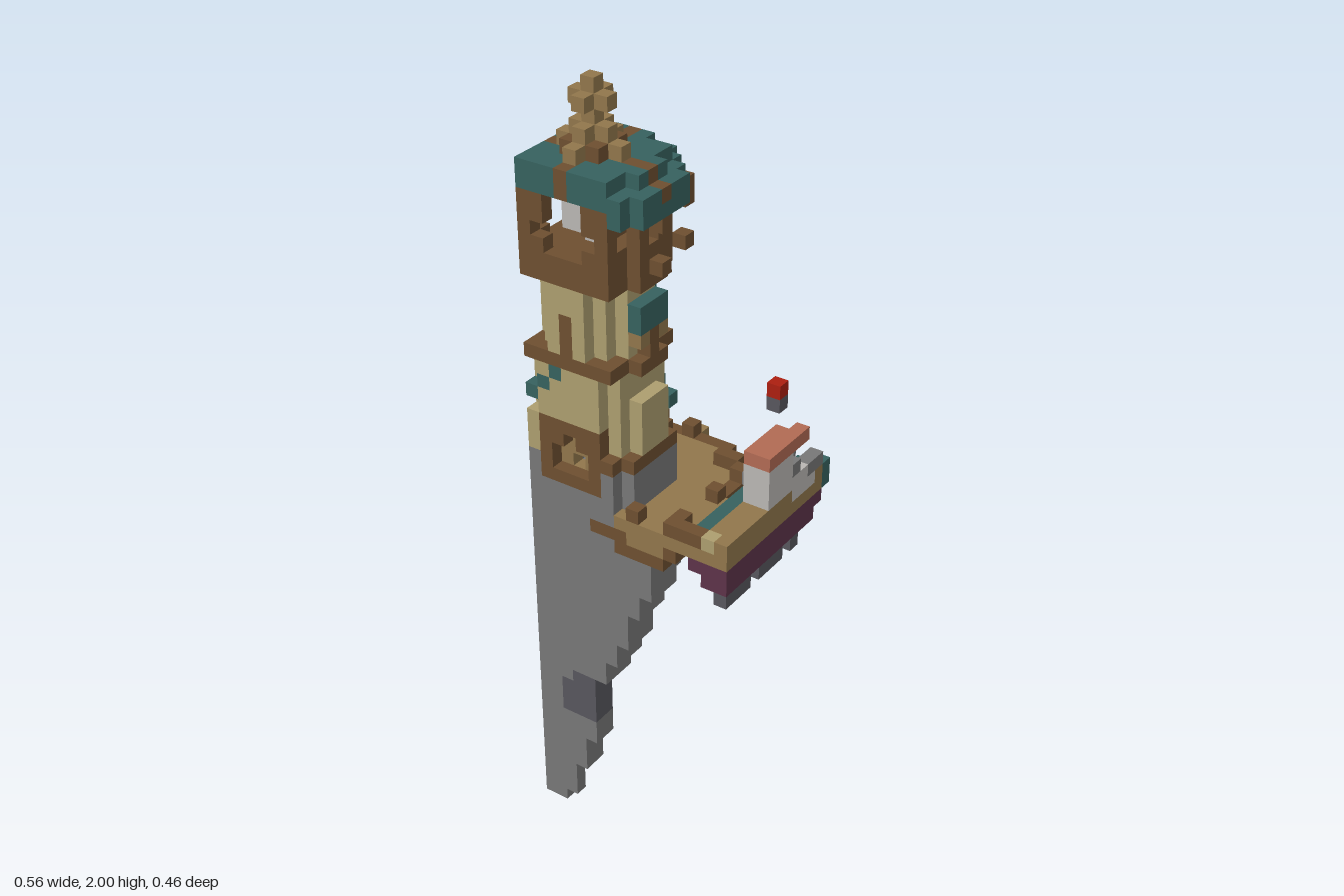
import * as THREE from 'three';
import { mergeGeometries } from 'three/addons/utils/BufferGeometryUtils.js';

const NX = 16, NY = 57, NZ = 13, S = 2 / NY; // block grid

const colours = {
  stone: 0x777777, darkStone: 0x57565d, paleStone: 0xb9b6b3, plaster: 0xac9d6e,
  darkTimber: 0x6d4f30, lightTimber: 0x90764b, tealTile: 0x36615e,
  purpleHull: 0x5d3349, salmonRoof: 0xb06a53, redLamp: 0xab1f10,
};

export function createModel() {
  const cells = new Map();
  const key = (i, j, k) => (i * 64 + j) * 64 + k;
  const inside = (i, j, k) => i >= 0 && i < NX && j >= 0 && j < NY && k >= 0 && k < NZ;

  // Fill a box of blocks (inclusive); a later part replaces an earlier one.
  function fill(part, colour, [i0, i1], [j0, j1], [k0, k1], rule = () => true) {
    for (let i = i0; i <= i1; i++) for (let j = j0; j <= j1; j++) for (let k = k0; k <= k1; k++)
      if (inside(i, j, k) && rule(i, j, k)) {
        if (colour) cells.set(key(i, j, k), part + '|' + colour);
        else cells.delete(key(i, j, k));
      }
  }
  const carve = (i, j, k, rule) => fill('', null, i, j, k, rule);
  // Round slab about the tower axis
  const r2 = (i, k) => (i - 3) ** 2 + (k - 9) ** 2;
  const disc = (part, colour, j, max, min = -1) =>
    fill(part, colour, [0, 8], j, [4, 12], (i, _, k) => r2(i, k) <= max && r2(i, k) > min);

  // Deck with dark rim, tapering underneath
  const reach = [-1, 8, 9, 10, 11, 11, 11, 12, 12, 12, 12, 12, 12];
  fill('deck', 'lightTimber', [0, 12], [27, 27], [1, 12], (i, j, k) => i <= reach[k]);
  fill('deckRim', 'darkTimber', [0, 12], [27, 27], [1, 7],
    (i, j, k) => i <= reach[k] && (k === 1 || (k < 7 && i === reach[k])));
  fill('deckBeams', 'darkTimber', [0, 12], [26, 26], [1, 12],
    (i, j, k) => i < reach[k] && (k > 1 || i % 4 === 1));
  fill('deckBeams', 'darkTimber', [0, 12], [25, 25], [2, 12],
    (i, j, k) => i < reach[k] - 1 && (k > 3 || i % 3 === 1) && (i < reach[k] - 2 || k % 3 === 0));
  fill('deckBeams', 'darkTimber', [0, 8], [23, 24], [3, 8],
    (i, j, k) => i <= reach[k] - 3 && (i + k) % 3 === 0 && k + j > 27);
  fill('deckFront', 'lightTimber', [7, 10], [26, 26], [10, 12]);
  for (const i of [1, 5]) {
    fill('deckPost', 'darkTimber', [i, i], [27, 28], [1, 1]);
    fill('deckBracket', 'lightTimber', [i, i], [27, 27], [0, 0]);
  }
  for (const [i, k] of [[9, 3], [10, 3], [11, 4], [11, 7], [11, 11], [11, 12], [12, 12], [13, 12], [8, 12]])
    fill('deckPost', 'darkTimber', [i, i], [28, 28], [k, k]);

  // Hanging rock: quarter ellipses widening upward from the corner
  const widthX = j => [[0, 2], [3, 3], [6, 4], [12, 5], [14, 6], [16, 7], [19, 8], [21, 9], [26, 10]].find(a => j <= a[0])[1];
  const widthZ = j => [[0, 1], [3, 2], [4, 3], [10, 4], [12, 5], [15, 6], [17, 7], [26, 8]].find(a => j <= a[0])[1];
  const inRock = (i, j, k) => ((i + 0.5) / widthX(j)) ** 2 + ((12.5 - k) / widthZ(j)) ** 2 <= 1.04;
  fill('rock', 'stone', [0, 9], [0, 24], [4, 12], inRock);
  fill('rockSeam', 'darkStone', [0, 5], [9, 12], [8, 12],
    (i, j, k) => inRock(i, j, k) && (i > 1 || k < 12) && !(i === 2 && j === 12));
  disc('towerBase', 'stone', [25, 30], 20);
  fill('deckFront', 'darkTimber', [5, 7], [26, 26], [12, 12]);

  // Lower tower
  disc('baseBand', 'darkTimber', [31, 31], 20);
  disc('lowerWall', 'plaster', [32, 34], 17);
  disc('lowerWall', 'plaster', [35, 37], 13);
  fill('lowerWall', 'plaster', [0, 0], [31, 33], [12, 12]);
  fill('buttress', 'plaster', [7, 7], [32, 35], [8, 10]);
  fill('buttress', 'plaster', [2, 4], [32, 35], [5, 5]);
  disc('middleBand', 'darkTimber', [38, 38], 18);
  fill('vine', 'tealTile', [0, 2], [35, 37], [12, 12], (i, j) => j === 35 + i);

  // Arched doorway with a passage to the back
  fill('doorFrame', 'darkTimber', [1, 5], [29, 33], [12, 12]);
  fill('doorSurround', 'lightTimber', [2, 4], [29, 32], [11, 11]);
  carve([2, 4], [30, 31], [12, 12]);
  carve([3, 3], [32, 32], [12, 12]);
  carve([3, 3], [30, 30], [0, 12]);

  // Small awning above the deck at the back
  fill('backAwning', 'tealTile', [2, 4], [33, 33], [4, 5]);
  fill('backAwningEdge', 'tealTile', [1, 5], [32, 32], [4, 4], i => i !== 3);

  // Upper wall, niches and shuttered windows
  disc('upperWall', 'plaster', [39, 43], 11);
  fill('niche', 'darkTimber', [3, 3], [39, 41], [12, 12]);
  fill('niche', 'darkTimber', [0, 0], [39, 41], [9, 9]);
  fill('sideWindow', 'tealTile', [7, 7], [41, 42], [8, 10]);
  fill('sideSill', 'lightTimber', [7, 7], [40, 40], [8, 10]);
  fill('sideBracket', 'darkTimber', [7, 7], [39, 40], [9, 9]);
  fill('backWindow', 'tealTile', [2, 4], [41, 42], [5, 5]);
  fill('backSill', 'lightTimber', [2, 4], [40, 40], [5, 5]);
  fill('backBracket', 'darkTimber', [3, 3], [39, 40], [5, 5]);

  // Lantern room, hollow, with lookout holes and a pale lamp
  disc('lanternRoom', 'darkTimber', [44, 49], 18);
  disc('lanternRoom', null, [46, 49], 10);
  for (const d of [1, 5]) {
    carve([d, d], [47, 47], [0, 12]);
    carve([0, 8], [47, 47], [d + 6, d + 6]);
  }
  carve([3, 3], [47, 47], [0, 7]);
  carve([5, 8], [47, 47], [9, 9]);
  fill('lamp', 'paleStone', [2, 4], [47, 49], [8, 10]);
  fill('lamp', 'paleStone', [3, 3], [46, 46], [9, 9]);
  for (const [i, k] of [[8, 9], [3, 4], [7, 5]]) {
    fill('eaveBracket', 'darkTimber', [i, i], [48, 49], [k, k]);
    fill('eaveBracket', 'darkTimber', [i, i], [45, 45], [k, k]);
  }

  // Stepped roof, ribs and finial cross
  disc('roof', 'tealTile', [49, 49], 29, 18);
  disc('roof', 'tealTile', [50, 50], 29);
  disc('roof', 'tealTile', [51, 51], 18);
  const onRib = (i, j, k) => i === 3 || k === 9;
  fill('roofRib', 'darkTimber', [0, 8], [50, 51], [4, 12], (i, j, k) => onRib(i, j, k) && r2(i, k) <= (j === 50 ? 25 : 16));
  fill('spireFoot', 'lightTimber', [1, 5], [52, 52], [7, 11], onRib);
  fill('spire', 'darkTimber', [2, 4], [52, 52], [8, 10]);
  fill('spire', 'lightTimber', [2, 4], [53, 53], [8, 10], onRib);
  fill('finial', 'lightTimber', [3, 3], [54, 56], [9, 9]);
  fill('finial', 'lightTimber', [2, 4], [55, 55], [8, 10], onRib);

  // Boat: keel, hull, gunwale, prow
  const inBoat = (i, j, k) => i >= (k > 2 ? 13 : 14);
  fill('keel', 'darkStone', [15, 15], [24, 24], [4, 12], (i, j, k) => k % 4 !== 1);
  fill('lowerHull', 'purpleHull', [14, 15], [25, 25], [2, 12]);
  fill('lowerHull', 'purpleHull', [13, 15], [26, 26], [1, 12], inBoat);
  fill('upperHull', 'lightTimber', [13, 15], [27, 27], [1, 12], inBoat);
  fill('boatDeck', 'lightTimber', [14, 15], [28, 28], [1, 12]);
  fill('gunwale', 'tealTile', [13, 13], [27, 28], [5, 11]);
  fill('gangplank', 'stone', [12, 13], [28, 28], [4, 4]);
  fill('boatPost', 'lightTimber', [13, 13], [28, 28], [3, 3]);
  fill('prow', 'tealTile', [15, 15], [27, 28], [0, 0]);
  fill('prow', 'tealTile', [14, 14], [27, 28], [1, 2]);
  fill('sternBlock', 'plaster', [14, 14], [28, 28], [12, 12]);

  // Cabin with roof, and the lamp floating above it
  fill('foreCabin', 'paleStone', [15, 15], [28, 29], [2, 4]);
  fill('foreDeck', 'stone', [15, 15], [29, 29], [1, 2]);
  fill('foreDeck', 'stone', [14, 14], [29, 30], [3, 3]);
  fill('cabin', 'paleStone', [14, 15], [29, 31], [5, 7]);
  fill('cabinBack', 'stone', [14, 15], [30, 30], [4, 4]);
  fill('cabinRoof', 'salmonRoof', [14, 15], [32, 32], [3, 7], (i, j, k) => i === 15 || k > 3);
  fill('mastLampBase', 'darkStone', [15, 15], [36, 36], [6, 6]);
  fill('mastLamp', 'redLamp', [15, 15], [37, 37], [6, 6]);

  // Turn the visible block faces into one mesh per part and colour
  const materials = {};
  for (const [name, color] of Object.entries(colours)) {
    materials[name] = new THREE.MeshStandardMaterial({ color });
    materials[name].name = name;
  }
  const H = Math.PI / 2;
  const sides = [[1, 0, 0, 0, H], [-1, 0, 0, 0, -H], [0, 1, 0, -H, 0], [0, -1, 0, H, 0], [0, 0, 1, 0, 0], [0, 0, -1, 0, 2 * H]]
    .map(([x, y, z, rx, ry]) => ({ x, y, z, plane: new THREE.PlaneGeometry(S, S).rotateX(rx).rotateY(ry) }));
  const faces = new Map();
  for (const [id, label] of cells) {
    const k = id % 64, j = Math.floor(id / 64) % 64, i = Math.floor(id / 4096);
    for (const { x, y, z, plane } of sides) {
      const a = i + x, b = j + y, c = k + z;
      if (inside(a, b, c) && cells.has(key(a, b, c))) continue;
      if (!faces.has(label)) faces.set(label, []);
      faces.get(label).push(plane.clone().translate(
        (i + 0.5 - NX / 2 + x / 2) * S, (j + 0.5 + y / 2) * S, (k + 0.5 - NZ / 2 + z / 2) * S));
    }
  }
  const model = new THREE.Group();
  model.name = 'cliffTowerWithBoat';
  for (const [label, list] of faces) {
    const [part, colour] = label.split('|');
    const mesh = new THREE.Mesh(mergeGeometries(list), materials[colour]);
    mesh.name = part;
    model.add(mesh);
  }
  return model;
}
